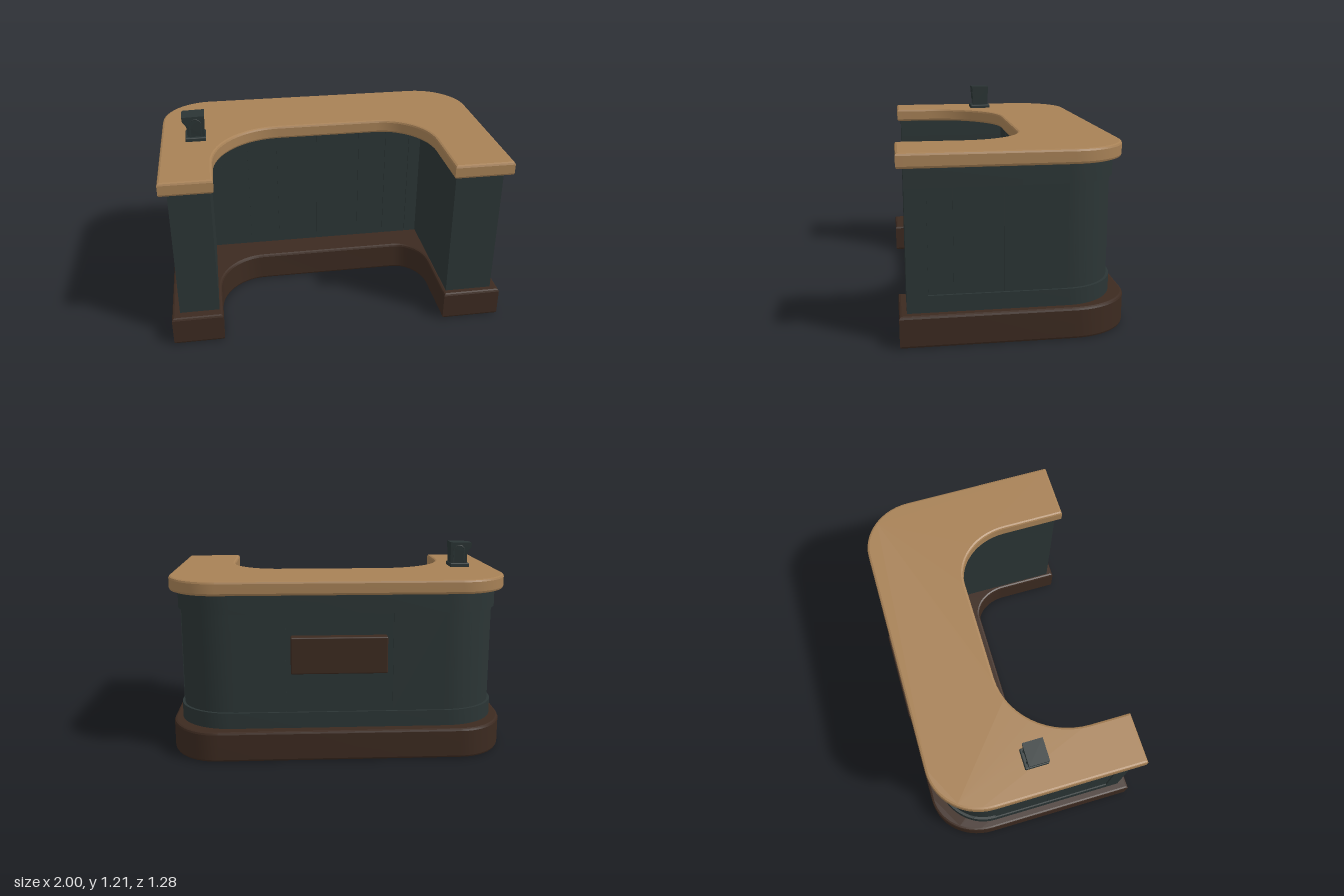
import * as THREE from 'three';
import { toCreasedNormals } from 'three/addons/utils/BufferGeometryUtils.js';
import { RoundedBoxGeometry } from 'three/addons/geometries/RoundedBoxGeometry.js';

const material = (name, color) => new THREE.MeshStandardMaterial({ name, color });

export function createModel() {
  const group = new THREE.Group();
  const wood = material('lightWood', 0xa78156);
  const brown = material('darkWood', 0x3c2a20);
  const paint = material('slatePaint', 0x2b3535);

  const add = (name, geometry, mat, x = 0, y = 0, z = 0) => {
    const mesh = new THREE.Mesh(geometry, mat);
    mesh.name = name;
    mesh.position.set(x, y, z);
    group.add(mesh);
    return mesh;
  };
  const box = (name, mat, x0, x1, y0, y1, z0, z1) =>
    add(name, new THREE.BoxGeometry(x1 - x0, y1 - y0, z1 - z0), mat,
      (x0 + x1) / 2, (y0 + y1) / 2, (z0 + z1) / 2);

  // U-shaped plan, open to the front; each inner corner is [x radius, z radius]
  const plan = ({ side, back, frontL, frontR, rx, rz, innerL, innerR, inner, cornerL, cornerR }) => {
    const s = new THREE.Shape();
    const k = 0.45; // distance of curve handles from the sharp corner
    const corner = (ax, az, cx, cz, bx, bz) => s.bezierCurveTo(
      cx + (ax - cx) * k, -(cz + (az - cz) * k),
      cx + (bx - cx) * k, -(cz + (bz - cz) * k), bx, -bz);
    s.moveTo(-side, -frontL);
    s.lineTo(innerL, -frontL);
    if (cornerL) {
      s.lineTo(innerL, -(inner + cornerL[1]));
      corner(innerL, inner + cornerL[1], innerL, inner, innerL + cornerL[0], inner);
    } else s.lineTo(innerL, -inner);
    if (cornerR) {
      s.lineTo(innerR - cornerR[0], -inner);
      corner(innerR - cornerR[0], inner, innerR, inner, innerR, inner + cornerR[1]);
    } else s.lineTo(innerR, -inner);
    s.lineTo(innerR, -frontR);
    s.lineTo(side, -frontR);
    s.lineTo(side, -(back + rz));
    corner(side, back + rz, side, back, side - rx, back);
    s.lineTo(-side + rx, -back);
    corner(-side + rx, back, -side, back, -side, back + rz);
    s.closePath();
    return s;
  };

  const slab = (name, mat, shape, y0, y1, bevel = 0) => {
    const geo = new THREE.ExtrudeGeometry(shape, {
      depth: y1 - y0 - 2 * bevel, curveSegments: 14, bevelEnabled: bevel > 0,
      bevelSize: bevel, bevelThickness: bevel, bevelOffset: -bevel, bevelSegments: 2,
    });
    geo.rotateX(-Math.PI / 2);
    return add(name, toCreasedNormals(geo, 0.35), mat, 0, y0 + bevel, 0);
  };

  // Plinth
  slab('plinth', brown, plan({
    side: 1, back: -0.642, frontL: 0.642, frontR: 0.642, rx: 0.29, rz: 0.34,
    innerL: -0.7, innerR: 0.65, inner: 0.03, cornerL: [0.29, 0.32], cornerR: [0.18, 0.23],
  }), 0, 0.18, 0.014);

  // Countertop
  slab('countertop', wood, plan({
    side: 1, back: -0.607, frontL: 0.605, frontR: 0.638, rx: 0.3, rz: 0.32,
    innerL: -0.7, innerR: 0.65, inner: -0.085, cornerL: [0.42, 0.45], cornerR: [0.3, 0.34],
  }), 0.97, 1.053, 0.014);

  // Body: recessed core between two projecting rails
  const sideX = 0.953, innerZ = -0.155;
  const bodyPlan = (inset) => plan({
    side: sideX - inset, back: -0.575 + inset, frontL: 0.58, frontR: 0.6,
    rx: 0.32 - inset, rz: 0.3 - inset, innerL: -0.72, innerR: 0.67, inner: innerZ,
  });
  const inset = 0.016, low = 0.275, high = 0.86;
  slab('lowerRail', paint, bodyPlan(0), 0.175, low);
  slab('bodyCore', paint, bodyPlan(inset), low, high);
  slab('upperRail', paint, bodyPlan(0), high, 0.975);

  // Plank cladding: thin boards with narrow gaps
  const gap = 0.0015, board = 0.008;
  const planks = (edges, build) => {
    for (let i = 0; i < edges.length - 1; i++) build(edges[i] + gap, edges[i + 1] - gap);
  };
  const face = sideX - inset;
  for (const s of [-1, 1]) {
    const xs = [s * face, s * (face + board)].sort((a, b) => a - b);
    planks([-0.27, 0.08, 0.35, 0.486], (a, b) =>
      box('sidePlank', paint, xs[0], xs[1], low + gap, high - gap, a, b));
    // Stile at the front end of each side
    const st = [s * (face - 0.01), s * sideX].sort((a, b) => a - b);
    box('frontStile', paint, st[0], st[1], low, high, 0.488, s > 0 ? 0.6 : 0.58);
  }
  const rear = -0.575 + inset;
  planks([-0.62, -0.31, 0, 0.31, 0.62], (a, b) =>
    box('backPlank', paint, a, b, low + gap, high - gap, rear - board, rear));
  planks([-0.72, -0.65, -0.48, -0.29, -0.03, 0.25, 0.43, 0.59, 0.67], (a, b) =>
    box('innerPlank', paint, a, b, 0.18, 0.97, innerZ, innerZ + board));

  // Plaque on the back
  add('backPlaque', new RoundedBoxGeometry(0.555, 0.215, 0.065, 2, 0.008), brown, 0.005, 0.627, -0.595);

  // Small stand on the counter: foot, flared block and arched face plates
  add('standFoot', new RoundedBoxGeometry(0.122, 0.028, 0.14, 2, 0.006), paint, -0.79, 1.062, 0);
  const profile = new THREE.Shape();
  profile.moveTo(-0.838, 1.07);
  profile.lineTo(-0.735, 1.07);
  profile.lineTo(-0.73, 1.208);
  profile.lineTo(-0.865, 1.204);
  profile.lineTo(-0.862, 1.175);
  profile.quadraticCurveTo(-0.838, 1.15, -0.838, 1.12);
  profile.closePath();
  const block = new THREE.ExtrudeGeometry(profile, { depth: 0.118, bevelEnabled: false });
  block.translate(0, 0, -0.059);
  // Narrow the block towards its foot
  const p = block.attributes.position;
  for (let i = 0; i < p.count; i++) {
    p.setZ(i, p.getZ(i) * (0.85 + 0.15 * THREE.MathUtils.smoothstep(p.getY(i), 1.08, 1.2)));
  }
  add('standBlock', toCreasedNormals(block, 0.6), paint);
  for (const s of [-1, 1]) {
    const arch = new THREE.TorusGeometry(0.033, 0.004, 6, 12, Math.PI);
    add('standArch', arch, paint, -0.786, 1.155, s * 0.055);
    for (const dx of [-0.033, 0.033]) {
      box('standArchLeg', paint, -0.79 + dx, -0.782 + dx, 1.075, 1.155, s * 0.052 - 0.004, s * 0.052 + 0.004);
    }
  }
  return group;
}
